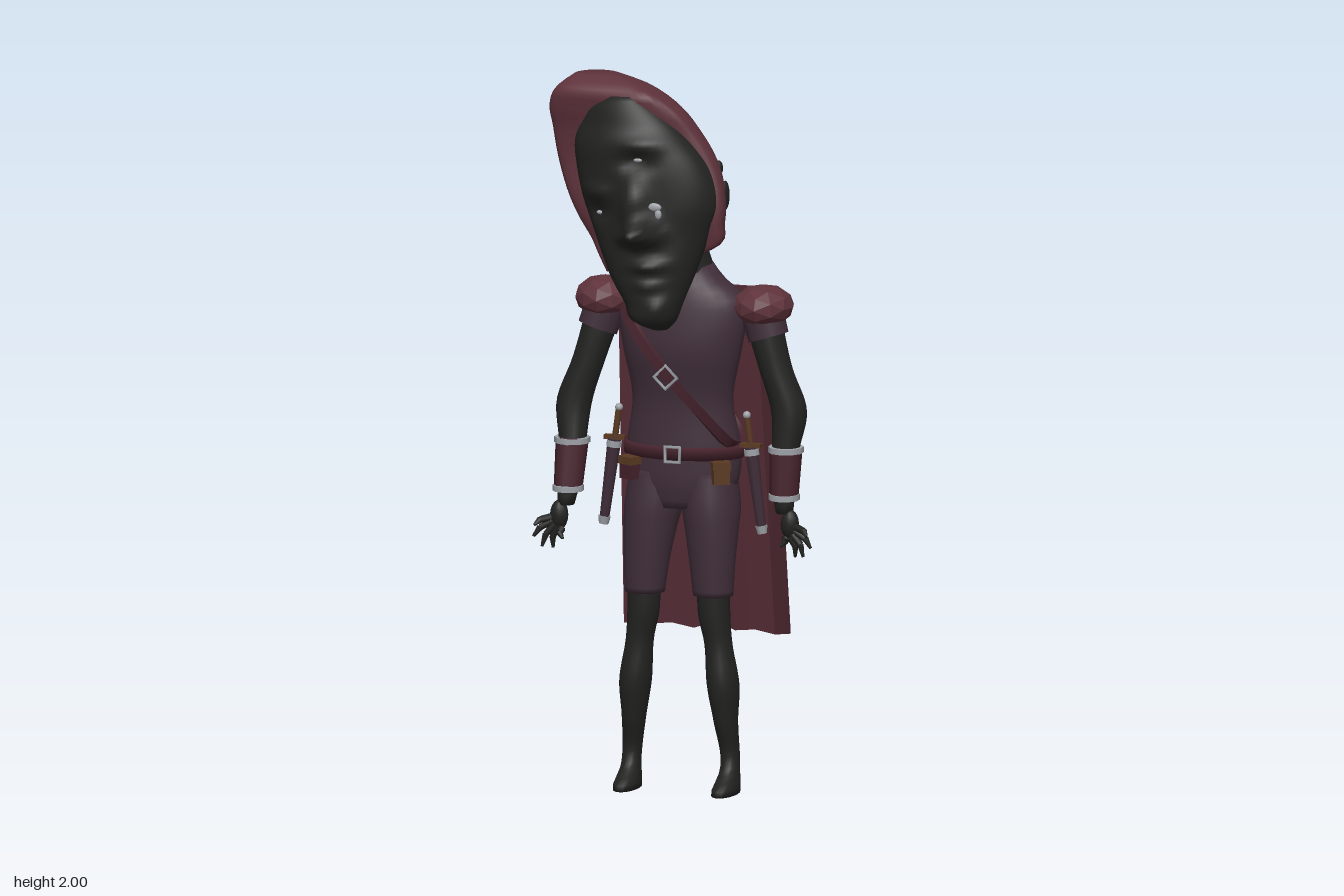
import * as THREE from 'three';
import { toCreasedNormals } from 'three/addons/utils/BufferGeometryUtils.js';

const mat = (name, color) => Object.assign(new THREE.MeshStandardMaterial({ color }), { name });
const V = (x, y, z) => new THREE.Vector3(x, y, z);

// Skin over closed rings of points, each ring counter-clockwise around the path
function loft(rings, caps = true) {
  const n = rings[0].length, pos = [], idx = [];
  rings.forEach(r => r.forEach(p => pos.push(p.x, p.y, p.z)));
  for (let i = 0; i < rings.length - 1; i++)
    for (let j = 0; j < n; j++) {
      const a = i * n + j, b = i * n + (j + 1) % n;
      idx.push(a, b, b + n, a, b + n, a + n);
    }
  if (caps) [0, rings.length - 1].forEach((i, top) => {
    const c = rings[i].reduce((s, p) => s.add(p), V(0, 0, 0)).divideScalar(n);
    const k = pos.length / 3;
    pos.push(c.x, c.y, c.z);
    for (let j = 0; j < n; j++) {
      const a = i * n + j, b = i * n + (j + 1) % n;
      top ? idx.push(k, a, b) : idx.push(k, b, a);
    }
  });
  const g = new THREE.BufferGeometry();
  g.setAttribute('position', new THREE.Float32BufferAttribute(pos, 3));
  g.setIndex(idx);
  g.computeVertexNormals();
  return g;
}

// Smooth lookup in rows of [y, left, right, back, front], listed bottom up
function profile(rows) {
  const f = new THREE.CubicInterpolant(new Float32Array(rows.map(r => r[0])),
    new Float32Array(rows.flatMap(r => r.slice(1))), 4);
  return y => Array.from(f.evaluate(y));
}

// Rounded body; k = depth of the widest line, flat < 1 flattens the front
function body(rows, { seg = 20, steps = 24, k = 0.5, flat = 1, rule } = {}) {
  const at = profile(rows), y0 = rows[0][0], y1 = rows.at(-1)[0], rings = [];
  for (let i = 0; i <= steps; i++) {
    const y = y0 + (y1 - y0) * i / steps, [xa, xb, za, zb] = at(y), zc = za + (zb - za) * k;
    rings.push(Array.from({ length: seg }, (_, j) => {
      const a = j / seg * Math.PI * 2, c = Math.cos(a);
      const x = (xa + xb) / 2 + (xb - xa) / 2 * Math.sin(a);
      const z = c > 0 ? zc + (zb - zc) * Math.pow(c, flat) : zc + (zc - za) * c;
      return V(x, y, rule && c > 0 ? z + rule(x, y) * Math.min(1, c * 2) : z);
    }));
  }
  return loft(rings);
}
const flipX = (rows, s) => s > 0 ? rows : rows.map(([y, a, b, c, d]) => [y, -b, -a, c, d]);
const sym = rows => rows.map(([y, w, a, b]) => [y, -w, w, a, b]);

// Tapered rod between two points
function rod(a, b, ra, rb, seg = 8) {
  const d = b.clone().sub(a), g = new THREE.CylinderGeometry(rb, ra, d.length(), seg);
  g.applyQuaternion(new THREE.Quaternion().setFromUnitVectors(V(0, 1, 0), d.normalize()));
  return g.translate((a.x + b.x) / 2, (a.y + b.y) / 2, (a.z + b.z) / 2);
}
const blob = (c, sx, sy, sz) => new THREE.SphereGeometry(1, 14, 10).scale(sx, sy, sz).translate(c.x, c.y, c.z);

export function createModel() {
  const skin = mat('black skin', 0x222221), hoodRed = mat('hood red', 0x5e323b),
    capeRed = mat('cape red', 0x572c36), tunic = mat('plum cloth', 0x3f2d38),
    darkRed = mat('dark red leather', 0x45222c), brown = mat('brown leather', 0x5a3a22),
    metal = mat('silver metal', 0x9fa3a8);
  const model = new THREE.Group(), figure = new THREE.Group();
  figure.name = 'figure';
  figure.position.x = 0.015;
  model.add(figure);
  const add = (parent, name, geo, m) => {
    const mesh = new THREE.Mesh(geo, m);
    mesh.name = name;
    parent.add(mesh);
    return mesh;
  };

  // Head: face with nose, lips, brows and eye sockets
  const faceRows = [[1.31, -.05, 0, .1, .15], [1.33, -.1, .02, .08, .18], [1.38, -.13, .04, .05, .185],
    [1.44, -.17, .06, .04, .18], [1.5, -.2, .08, .02, .175], [1.58, -.235, .105, 0, .165],
    [1.66, -.265, .125, 0, .16], [1.755, -.285, .1, 0, .155], [1.82, -.29, .055, 0, .15],
    [1.88, -.275, 0, 0, .13], [1.92, -.255, -.05, .02, .12], [1.955, -.2, -.1, .05, .11]];
  const bumps = [[-.067, 1.59, .032, .035, .095], [-.09, 1.66, .03, .06, .045], [-.11, 1.57, .025, .02, .025],
    [-.03, 1.575, .025, .02, .025], [-.045, 1.495, .045, .016, .025], [-.045, 1.44, .04, .014, .014],
    [-.01, 1.375, .04, .03, .015], [-.085, 1.78, .045, .025, -.022], [-.2, 1.63, .035, .025, -.018],
    [-.07, 1.83, .06, .02, .014], [-.2, 1.69, .04, .02, .014]];
  const relief = (x, y) => bumps.reduce((s, [bx, by, w, h, d]) =>
    s + d * Math.exp(-(((x - bx) / w) ** 2) - ((y - by) / h) ** 2), 0);
  const head = new THREE.Group();
  head.name = 'head';
  model.add(head);
  add(head, 'face', body(faceRows, { seg: 48, steps: 54, k: 0.38, rule: relief }), skin);
  const faceAt = profile(faceRows);
  const faceZ = (x, y) => {
    const [xa, xb, za, zb] = faceAt(y), s = (2 * x - xa - xb) / (xb - xa);
    return za + (zb - za) * (0.38 + 0.62 * Math.sqrt(Math.max(0, 1 - s * s))) + relief(x, y);
  };
  [['leftEye', -.085, 1.785, .014, .006], ['rightEye', -.2, 1.627, .011, .006], ['cheekMark', -.03, 1.66, .022, .012],
    ['cheekMarkTail', -.018, 1.64, .01, .014]].forEach(([name, x, y, w, h]) =>
    add(head, name, blob(V(x, y, faceZ(x, y)), w, h, .007), metal));

  // Hood with two holes on its left side
  add(head, 'hood', body([[1.45, -.2, -.12, 0, .07], [1.5, -.225, .04, -.04, .08], [1.54, -.245, .125, -.06, .08],
    [1.6, -.28, .138, -.075, .09], [1.66, -.31, .14, -.09, .09], [1.76, -.345, .115, -.115, .08],
    [1.85, -.36, .06, -.122, .085], [1.92, -.365, 0, -.115, .1], [1.97, -.34, -.08, -.085, .1],
    [2, -.3, -.17, -.03, .05]], { seg: 36, steps: 36, k: 0.75, flat: 0.5 }), hoodRed);
  add(head, 'hoodHoleLower', blob(V(.123, 1.67, -.01), .012, .042, .022), skin);
  add(head, 'hoodHoleUpper', blob(V(.099, 1.742, -.028), .012, .022, .014), skin);
  add(head, 'neck', rod(V(.03, 1.4, .015), V(-.02, 1.58, .02), .085, .075, 16), skin);

  // Torso and belt
  add(figure, 'tunic', body(sym([[.8, .12, -.05, .11], [.86, .155, -.06, .12], [.95, .165, -.072, .118],
    [1.1, .145, -.04, .11], [1.25, .172, -.05, .13], [1.35, .185, -.052, .12], [1.4, .17, -.056, .11],
    [1.44, .115, -.06, .1], [1.48, .08, -.055, .085]]), { seg: 28, steps: 30 }), tunic);
  add(figure, 'belt', body(sym([[.94, .172, -.079, .127], [.975, .172, -.079, .127]]), { seg: 28, steps: 1 }), darkRed);
  add(figure, 'beltBuckle', new THREE.TorusGeometry(.03, .006, 4, 4).rotateZ(Math.PI / 4)
    .translate(0, .957, .132), metal);

  // Diagonal chest strap running round the back
  const path = new THREE.CatmullRomCurve3([V(-.16, 1.37, .06), V(-.1, 1.3, .145), V(-.005, 1.18, .152),
    V(.08, 1.08, .13), V(.15, .98, .06), V(.13, 1, -.05), V(0, 1.16, -.066), V(-.13, 1.34, -.055)], true);
  const strap = path.getPoints(48).map(p => {
    const o = V(p.x, 0, p.z - .03).normalize().multiplyScalar(.006), w = V(.009, .011, 0);
    return [[1, 1], [1, -1], [-1, -1], [-1, 1]].map(([a, b]) =>
      p.clone().addScaledVector(o, a).addScaledVector(w, b));
  });
  add(figure, 'chestStrap', toCreasedNormals(loft(strap, false), 0.7), darkRed);
  add(figure, 'strapBuckle', new THREE.TorusGeometry(.033, .006, 4, 4).translate(-.012, 1.18, .158), metal);

  for (const s of [1, -1]) {
    const side = s > 0 ? 'left' : 'right';
    // Leg with foot, and trouser leg
    add(figure, side + 'Leg', body(flipX([[0, .108, .178, .015, .17], [.02, .11, .177, .012, .165],
      [.045, .115, .172, .013, .115], [.08, .117, .17, .018, .085], [.2, .1, .167, .02, .105],
      [.3, .083, .172, .015, .12], [.42, .075, .153, .03, .11], [.5, .058, .148, .03, .115],
      [.6, .055, .148, .03, .115]], s), { steps: 36 }), skin);
    add(figure, side + 'TrouserLeg', body(flipX([[.555, .043, .156, .02, .122], [.65, .03, .16, .005, .125],
      [.74, .014, .164, -.025, .126], [.8, .002, .165, -.05, .124], [.9, 0, .15, -.06, .11]], s)), tunic);

    // Arm, hanging slightly further forward on the right
    const arm = new THREE.Group();
    arm.name = side + 'Arm';
    figure.add(arm);
    const P = (x, y, z) => V(s * x, y, z - s * .055 * (1.38 - y));
    const armRows = [[.8, .308, .105, .024], [.86, .304, .095, .032], [.97, .303, .07, .038], [1.08, .307, .045, .05],
      [1.2, .268, .04, .047], [1.3, .24, .03, .05], [1.38, .225, .02, .05]].map(([y, x, z, r]) => {
      const p = P(x, y, z);
      return [y, p.x - r, p.x + r, p.z - r, p.z + r];
    });
    add(arm, 'armSkin', body(armRows, { seg: 16 }), skin);
    add(arm, 'sleeve', rod(P(.247, 1.285, .032), P(.22, 1.37, .02), .058, .062, 12), tunic);
    const pad = new THREE.IcosahedronGeometry(1, 1).scale(.086, .06, .09).translate(s * .23, 1.372, .02);
    pad.computeVertexNormals();
    add(arm, 'shoulderPad', pad, hoodRed);
    // Bracer with metal rims
    const low = P(.305, .845, .097), high = P(.304, .975, .07);
    add(arm, 'bracer', rod(low, high, .04, .046, 10), darkRed);
    [[.0, .044], [1, .05]].forEach(([t, r]) => {
      const c = low.clone().lerp(high, t);
      add(arm, 'bracerRim', rod(c.clone().add(V(0, -.008, 0)), c.clone().add(V(0, .008, 0)), r, r, 10), metal);
    });
    // Hand
    add(arm, 'palm', blob(P(.325, .77, .112), .026, .042, .024), skin);
    [[.385, .745, .15], [.392, .71, .135], [.368, .682, .13], [.34, .678, .115], [.305, .71, .14]]
      .forEach(([x, y, z], i) => {
        const base = P(i < 4 ? .34 - i * .005 : .315, .765 - i * .008, .118), tip = P(x, y, z);
        const mid = base.clone().lerp(tip, .55).add(V(s * .008, .004, 0));
        add(arm, 'fingerBase', rod(base, mid, .011, .0095), skin);
        add(arm, 'fingerTip', rod(mid, tip, .0095, .004), skin);
      });

    // Sheathed dagger and belt pouch
    const dagger = new THREE.Group();
    dagger.name = side + 'Dagger';
    figure.add(dagger);
    const D = (x, y) => V(s * x, y, .035);
    add(dagger, 'pommel', blob(D(.186, 1.062), .011, .011, .011), metal);
    add(dagger, 'grip', rod(D(.197, .98), D(.187, 1.055), .009, .009), brown);
    add(dagger, 'guard', new THREE.BoxGeometry(.06, .012, .02).translate(s * .198, .977, .035), brown);
    add(dagger, 'sheath', rod(D(.228, .75), D(.199, .972), .014, .02), tunic);
    add(dagger, 'sheathTip', rod(D(.231, .73), D(.228, .752), .014, .018), metal);
    add(dagger, 'sheathCollar', rod(D(.201, .95), D(.199, .968), .022, .022), metal);
    add(figure, side + 'Pouch', new THREE.BoxGeometry(.045, .055, .035).rotateY(s * .5)
      .translate(s * .132, .905, .105), s > 0 ? brown : darkRed);
    add(figure, side + 'PouchFlap', new THREE.BoxGeometry(.05, .022, .042).rotateY(s * .5)
      .translate(s * .132, .93, .105), brown);
  }

  // Pleated cape, slanting back towards an uneven hem
  const pleats = [[-.22, -.175, .41], [-.16, -.235, .4], [-.1, -.24, .405], [-.04, -.25, .392], [.02, -.272, .41],
    [.08, -.25, .392], [.14, -.24, .4], [.2, -.237, .39], [.262, -.175, .408]];
  const edge = (t, d) => pleats.map(([x, z, y]) => V(
    .02 + (x - .02) * (1 - .08 * t), y + (1.4 - y) * t,
    z + (-.062 + (z + .175) * .63 - z) * t + d));
  const section = t => [...edge(t, .012), ...edge(t, 0).reverse()];
  add(model, 'cape', toCreasedNormals(loft([0, .5, 1].map(section), false), 0.25), capeRed);
  // Hem and top edge strips close the cloth
  [0, 1].forEach(t => {
    const s = section(t), n = s.length, pts = [], idx = [];
    s.forEach(p => pts.push(p.x, p.y, p.z));
    for (let j = 0; j < n / 2 - 1; j++) {
      const a = j, b = j + 1, c = n - 2 - j, d = n - 1 - j;
      t ? idx.push(a, b, c, a, c, d) : idx.push(a, c, b, a, d, c);
    }
    const g = new THREE.BufferGeometry();
    g.setAttribute('position', new THREE.Float32BufferAttribute(pts, 3));
    g.setIndex(idx);
    g.computeVertexNormals();
    add(model, t ? 'capeTopEdge' : 'capeHem', g, capeRed);
  });
  return model;
}
